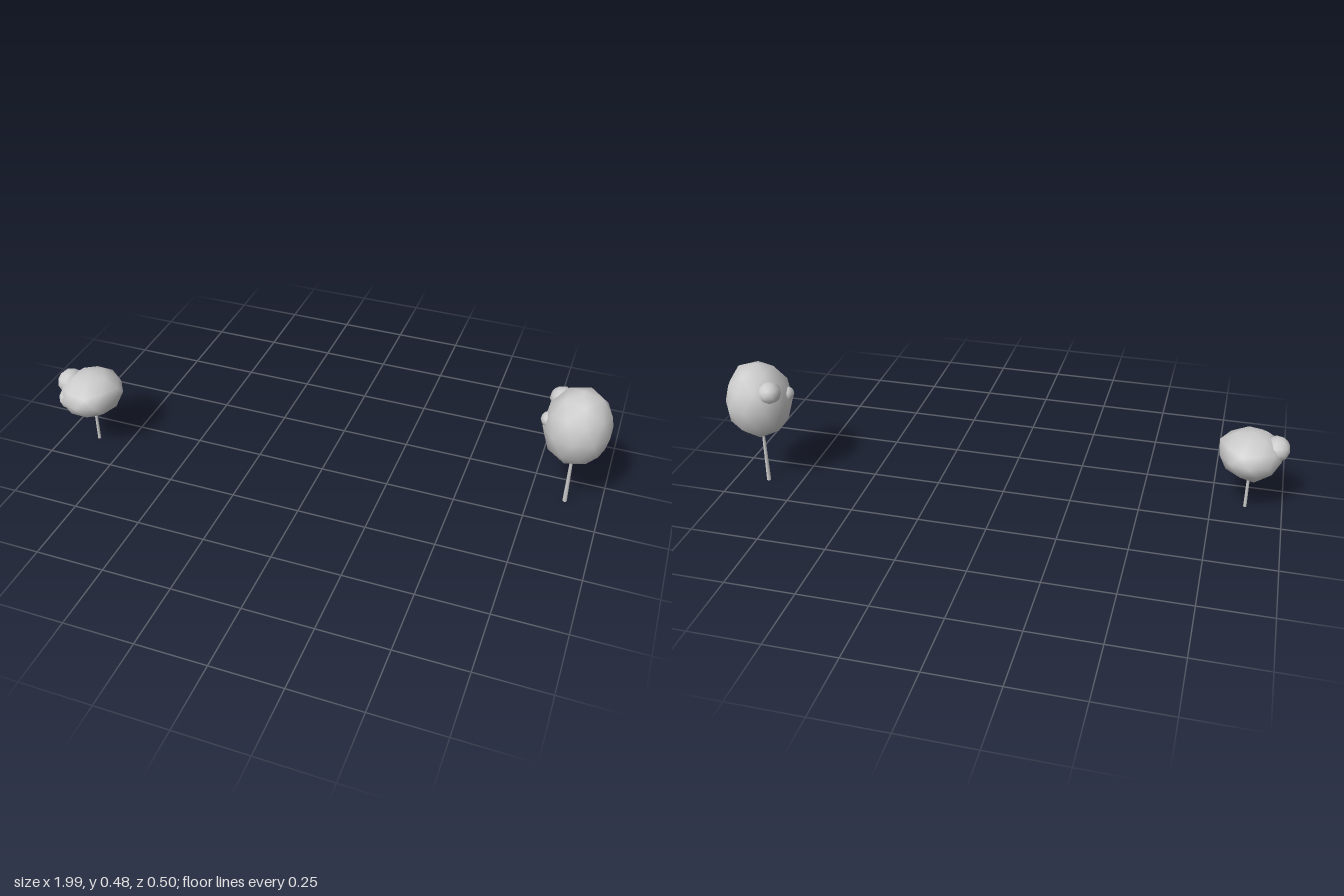
import * as THREE from 'three';
import { mergeVertices } from 'three/addons/utils/BufferGeometryUtils.js';

const material = new THREE.MeshStandardMaterial({ color: 0xcccccc });

// Smooth-shaded 80-face ball standing on a corner; each push is [direction x, y, z, amount]
function makeBlob(name, radii, center, pushes = []) {
  const raw = new THREE.IcosahedronGeometry(1, 1);
  raw.deleteAttribute('uv');
  raw.deleteAttribute('normal');
  const geometry = mergeVertices(raw, 1e-3);
  geometry.rotateX(-Math.atan((1 + Math.sqrt(5)) / 2)).rotateY(Math.PI / 2);

  const position = geometry.attributes.position;
  const v = new THREE.Vector3();
  const dir = new THREE.Vector3();
  for (let i = 0; i < position.count; i++) {
    v.fromBufferAttribute(position, i);
    let scale = 1;
    for (const [x, y, z, amount] of pushes) {
      const closeness = Math.max(0, v.dot(dir.set(x, y, z).normalize()));
      scale += amount * closeness ** 16;
    }
    v.multiplyScalar(scale);
    position.setXYZ(i, v.x, v.y, v.z);
  }
  geometry.scale(...radii);
  geometry.computeVertexNormals();

  const mesh = new THREE.Mesh(geometry, material);
  mesh.name = name;
  mesh.position.set(...center);
  return mesh;
}

// Thin tapered trunk, foot on the ground
function makeTrunk(x, z, height, topRadius, bottomRadius) {
  const geometry = new THREE.CylinderGeometry(topRadius, bottomRadius, height, 8);
  const mesh = new THREE.Mesh(geometry, material);
  mesh.name = 'trunk';
  mesh.position.set(x, height / 2, z);
  return mesh;
}

function makeTree(name, ...parts) {
  const tree = new THREE.Group();
  tree.name = name;
  tree.add(...parts);
  return tree;
}

export function createModel() {
  const model = new THREE.Group();
  model.name = 'trees';

  // Low tree with a wide, flattened crown
  model.add(makeTree('lowTree',
    makeTrunk(-0.87, 0.117, 0.15, 0.005, 0.006),
    makeBlob('crown', [0.113, 0.083, 0.125], [-0.868, 0.221, 0.122], [
      [0.85, 0.53, 0, 0.12],
      [0, -0.85, -0.53, 0.14],
      [-0.6, 0, -0.8, -0.04],
    ]),
    makeBlob('sideClump', [0.046, 0.044, 0.055], [-0.954, 0.25, 0.122]),
    makeBlob('lowerClump', [0.042, 0.042, 0.045], [-0.928, 0.215, 0.176]),
  ));

  // Tall tree with an egg-shaped crown
  model.add(makeTree('tallTree',
    makeTrunk(0.875, -0.131, 0.21, 0.005, 0.008),
    makeBlob('crown', [0.119, 0.143, 0.124], [0.876, 0.337, -0.125], [
      [0.53, 0.85, 0, 0.05],
      [0, 0.53, -0.85, 0.06],
      [0.7, -0.2, -0.7, 0.04],
    ]),
    makeBlob('backClump', [0.043, 0.04, 0.043], [0.806, 0.4, -0.181]),
    makeBlob('sideClump', [0.026, 0.026, 0.03], [0.778, 0.36, -0.1]),
  ));

  return model;
}
